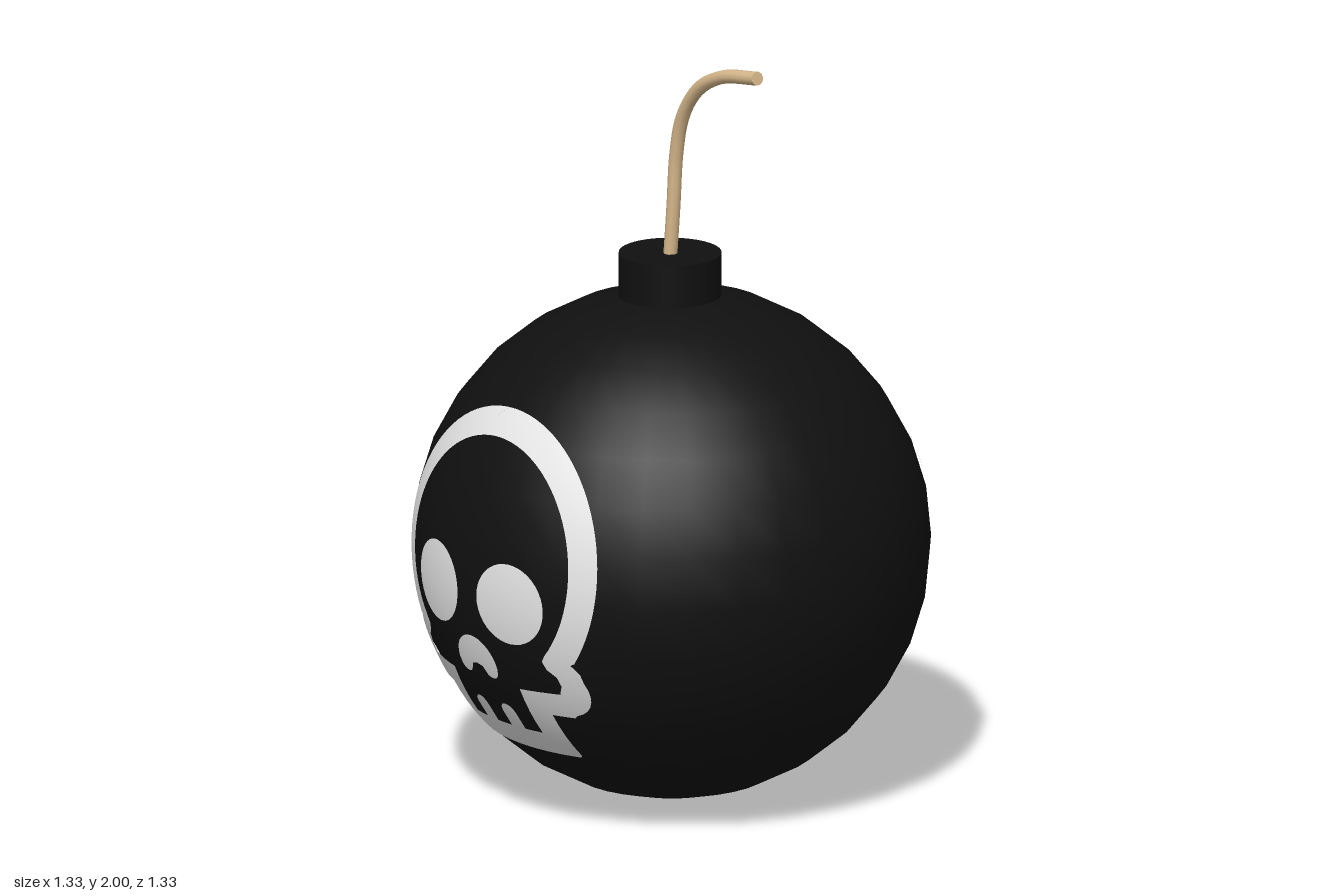
import * as THREE from 'three';

const R = 0.665;       // ball radius, also its centre height
const DECAL_R = 0.668; // painted skull sits just above the ball

const black = new THREE.MeshStandardMaterial({ color: 0x101010 });
black.name = 'matte black';
const white = new THREE.MeshStandardMaterial({ color: 0xe6e6e6 });
white.name = 'skull white';
const tan = new THREE.MeshStandardMaterial({ color: 0xd8b98c });
tan.name = 'fuse tan';

// Points on an arc, angles in degrees
function arc(cx, cy, r, from, to, n) {
  return Array.from({ length: n + 1 }, (_, i) => {
    const a = THREE.MathUtils.degToRad(from + (to - from) * i / n);
    return [cx + r * Math.cos(a), cy + r * Math.sin(a)];
  });
}

// Closed outline from its right half, listed from top centre to bottom centre
function mirrored(half) {
  const left = half.slice(1, -1).reverse().map(([x, y]) => [-x, y]);
  return [...half, ...left].map(([x, y]) => new THREE.Vector2(x, y));
}

// Skull parts as flat shapes in front-view coordinates
function skullShapes() {
  const outline = new THREE.Shape(mirrored([
    ...arc(0, 0.72, 0.383, 90, -34, 30),
    [0.307, 0.5], [0.325, 0.475],
    ...arc(0.255, 0.425, 0.077, 20, -75, 7),
    [0.265, 0.342], [0.205, 0.342], [0.203, 0.215], [0.195, 0.208], [0, 0.208],
  ]));
  outline.holes.push(new THREE.Path(mirrored([
    ...arc(0, 0.72, 0.316, 90, -40, 30),
    [0.232, 0.5], [0.24, 0.478], [0.262, 0.46], [0.267, 0.435], [0.255, 0.41],
    [0.135, 0.405], [0.135, 0.275], [0.078, 0.275],
    ...arc(0.053, 0.32, 0.025, 0, 180, 6), // tooth
    [0.028, 0.275], [0, 0.275],
  ])));
  const eye = (x) => new THREE.Shape(
    arc(x, 0.64, 0.107, 0, 351, 39).map(([px, py]) => new THREE.Vector2(px, py)));
  const nose = new THREE.Shape(mirrored([
    ...arc(0, 0.45, 0.077, 90, 0, 9),
    ...arc(0.05, 0.442, 0.025, 0, -135, 6),
    [0.02, 0.445], [0, 0.45],
  ]));
  return { skullOutline: outline, leftEye: eye(0.146), rightEye: eye(-0.146), nose };
}

// Split triangles until small, then project them along z onto the ball
function decalGeometry(shape) {
  const flat = new THREE.ShapeGeometry(shape).toNonIndexed().getAttribute('position');
  const positions = [], normals = [];
  function emit(a, b, c) {
    const edges = [[a, b, c], [b, c, a], [c, a, b]];
    edges.sort((p, q) => q[0].distanceTo(q[1]) - p[0].distanceTo(p[1]));
    const [p, q, r] = edges[0];
    if (p.distanceTo(q) > 0.05) {
      const m = p.clone().add(q).multiplyScalar(0.5);
      emit(p, m, r);
      emit(m, q, r);
      return;
    }
    for (const v of [a, b, c]) {
      const y = v.y - R;
      const z = Math.sqrt(DECAL_R * DECAL_R - v.x * v.x - y * y);
      positions.push(v.x, v.y, z);
      normals.push(v.x / DECAL_R, y / DECAL_R, z / DECAL_R);
    }
  }
  const at = (i) => new THREE.Vector2(flat.getX(i), flat.getY(i));
  for (let i = 0; i < flat.count; i += 3) emit(at(i), at(i + 1), at(i + 2));
  const geo = new THREE.BufferGeometry();
  geo.setAttribute('position', new THREE.Float32BufferAttribute(positions, 3));
  geo.setAttribute('normal', new THREE.Float32BufferAttribute(normals, 3));
  return geo;
}

export function createModel() {
  const model = new THREE.Group();
  model.name = 'bomb';
  const add = (parent, name, geometry, material) => {
    const mesh = new THREE.Mesh(geometry, material);
    mesh.name = name;
    parent.add(mesh);
    return mesh;
  };

  // Round body and neck
  add(model, 'ball', new THREE.SphereGeometry(R, 32, 16), black).position.y = R;
  add(model, 'neck', new THREE.CylinderGeometry(0.132, 0.132, 0.17, 32), black)
    .position.set(-0.008, 1.345, 0);

  // Bent fuse with a closed tip
  const path = new THREE.CatmullRomCurve3([
    [-0.003, 1.4, 0.005], [0.01, 1.56, 0.003], [0.022, 1.7, 0.003], [0.052, 1.805, 0.006],
    [0.122, 1.895, 0.01], [0.225, 1.951, 0.013], [0.376, 1.982, 0.016],
  ].map((p) => new THREE.Vector3(...p)));
  add(model, 'fuse', new THREE.TubeGeometry(path, 32, 0.018, 10), tan);
  const tip = add(model, 'fuseTip', new THREE.CircleGeometry(0.018, 10), tan);
  tip.position.copy(path.getPoint(1));
  tip.lookAt(path.getPoint(1).add(path.getTangent(1)));

  // Painted skull on the front and the back
  const shapes = Object.entries(skullShapes()).map(([name, s]) => [name, decalGeometry(s)]);
  for (const [side, turn] of [['frontSkull', 0], ['backSkull', Math.PI]]) {
    const skull = new THREE.Group();
    skull.name = side;
    skull.rotation.y = turn;
    for (const [name, geo] of shapes) add(skull, name, geo, white);
    model.add(skull);
  }
  return model;
}
